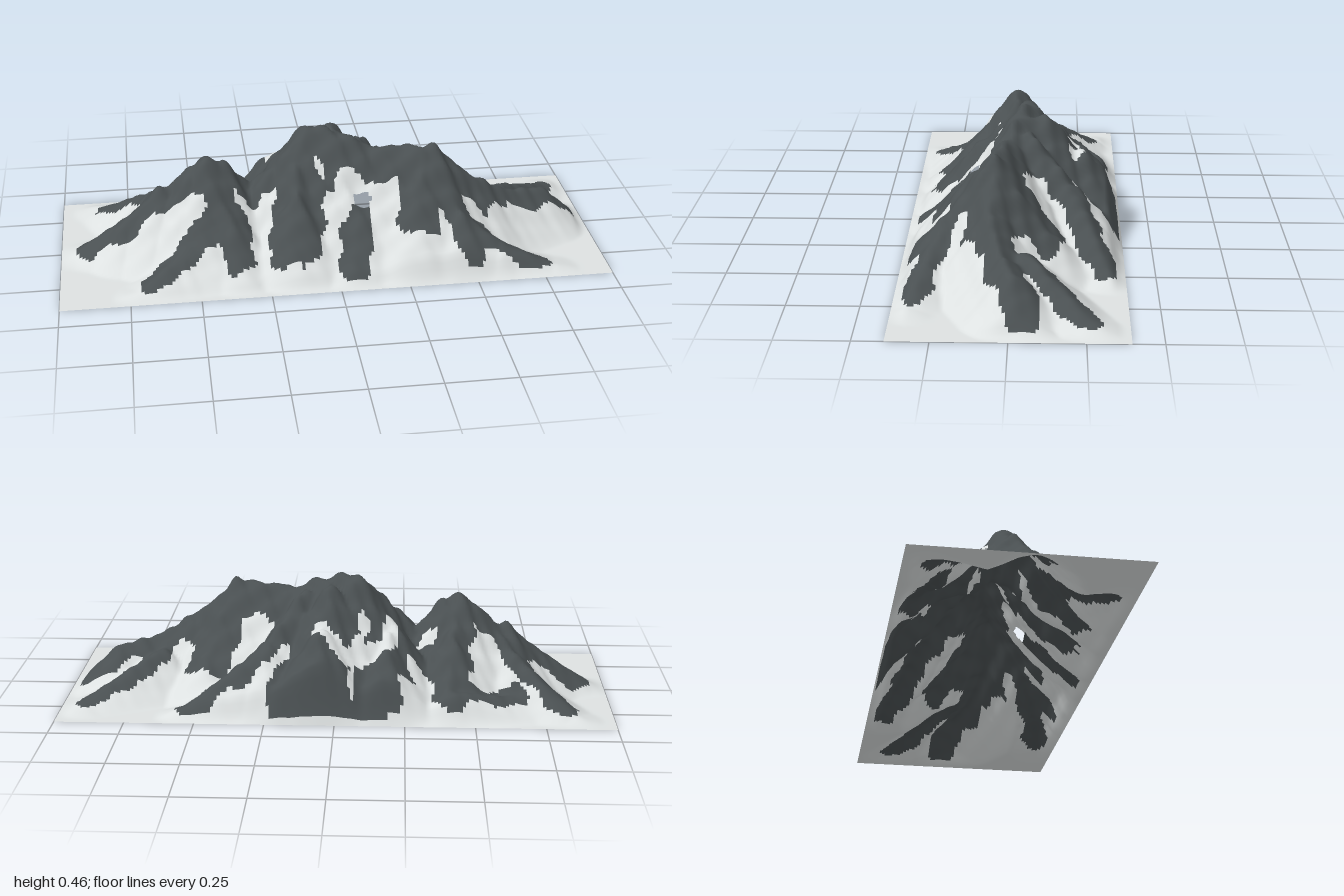
import * as THREE from 'three';

const NX = 180, NZ = 72, HALF_X = 1, HALF_Z = 0.395;

// Each crest: width of bare rock along it, then [x, z, height] points
const mainRidges = [
  { rock: 0.075, line: [[-0.95, 0.02, 0.02], [-0.75, 0.02, 0.15], [-0.62, 0, 0.26], [-0.56, 0, 0.26], [-0.5, 0, 0.34],
    [-0.45, 0, 0.375], [-0.4, 0, 0.355], [-0.28, -0.02, 0.235]] },
  { rock: 0.085, line: [[-0.28, -0.02, 0.235], [-0.21, 0, 0.32], [-0.17, 0, 0.32], [-0.13, -0.02, 0.4], [-0.07, -0.05, 0.46],
    [0.05, -0.01, 0.435], [0.16, 0.02, 0.385], [0.38, 0.065, 0.4], [0.54, 0.07, 0.26]] },
  { rock: 0.062, line: [[0.54, 0.07, 0.26], [0.68, 0.04, 0.18], [0.82, -0.01, 0.155], [0.92, -0.05, 0.05]] },
];
const frontSpurs = [
  { rock: 0.05, line: [[-0.43, 0.04, 0.33], [-0.37, 0.15, 0.2], [-0.55, 0.22, 0.11], [-0.71, 0.34, 0.02]] },
  { rock: 0.06, line: [[-0.37, 0.15, 0.2], [-0.35, 0.25, 0.08]] },
  { rock: 0.09, line: [[-0.12, 0.02, 0.38], [-0.13, 0.14, 0.26], [-0.15, 0.23, 0.13]] },
  { rock: 0, line: [[0.06, 0.03, 0.38], [0.08, 0.09, 0.26], [0.1, 0.16, 0.215]] },
  { rock: 0, line: [[0.02, 0.12, 0.24], [0.12, 0.15, 0.215], [0.22, 0.12, 0.25]] },
  { rock: 0.065, line: [[0.075, 0.23, 0.145], [0.06, 0.31, 0.06]] },
  { rock: 0.07, line: [[0.35, 0.08, 0.38], [0.32, 0.15, 0.3], [0.31, 0.22, 0.16]] },
  { rock: 0.05, line: [[0.38, 0.07, 0.38], [0.46, 0.23, 0.2], [0.6, 0.29, 0.1], [0.79, 0.34, 0.02]] },
  { rock: 0.05, line: [[0.46, 0.23, 0.2], [0.48, 0.31, 0.08]] },
];
const backSpurs = [
  { rock: 0.055, line: [[0.12, -0.05, 0.4], [0.24, -0.2, 0.25], [0.53, -0.33, 0.04]] },
  { rock: 0.05, line: [[0.66, -0.05, 0.16], [0.91, -0.27, 0.03]] },
  { rock: 0.08, line: [[0.4, 0.05, 0.37], [0.47, -0.11, 0.17]] },
  { rock: 0.12, line: [[0.03, -0.03, 0.42], [0.02, -0.11, 0.43], [0.05, -0.2, 0.305], [0.05, -0.24, 0.31], [0.05, -0.34, 0.18]] },
  { rock: 0.08, line: [[0.05, -0.25, 0.28], [0.17, -0.33, 0.15]] },
  { rock: 0.09, line: [[-0.12, -0.06, 0.38], [-0.2, -0.14, 0.3], [-0.18, -0.25, 0.23], [-0.14, -0.33, 0.13]] },
  { rock: 0.05, line: [[-0.2, -0.14, 0.28], [-0.33, -0.17, 0.13]] },
  { rock: 0.065, line: [[-0.45, 0, 0.35], [-0.42, -0.14, 0.25], [-0.41, -0.29, 0.11]] },
  { rock: 0.04, line: [[-0.44, -0.31, 0.1], [-0.66, -0.25, 0.06]] },
  { rock: 0.045, line: [[-0.58, -0.02, 0.25], [-0.65, -0.12, 0.18], [-0.86, -0.32, 0.02]] },
];
const crests = [...mainRidges, ...frontSpurs, ...backSpurs];

// Curved snow bowl cut into the rock of the back face
const snowBowl = [[-0.2, -0.13, 0], [-0.19, -0.21, 0], [-0.03, -0.28, 0], [0.06, -0.22, 0]];

// Distance to a line, and the slope height it gives: rounded crest, steep side, easing out below
function measure(line, x, z) {
  let distance = Infinity, slope = 0;
  for (let i = 0; i < line.length - 1; i++) {
    const [ax, az, ah] = line[i], [bx, bz, bh] = line[i + 1];
    const dx = bx - ax, dz = bz - az;
    const t = THREE.MathUtils.clamp(((x - ax) * dx + (z - az) * dz) / (dx * dx + dz * dz), 0, 1);
    const d = Math.hypot(x - ax - dx * t, z - az - dz * t);
    const h = ah + (bh - ah) * t;
    const rounded = Math.hypot(d, 0.02) - 0.02;
    distance = Math.min(distance, d);
    slope = Math.max(slope, h * Math.pow(Math.max(0, 1 - rounded / (0.07 + 0.66 * h)), 1.2));
  }
  return { distance, slope };
}

function smoothMax(a, b, k) {
  const h = Math.max(k - Math.abs(a - b), 0) / k;
  return Math.max(a, b) + h * h * k * 0.25;
}

function height(x, z) {
  let y = 0;
  for (const { line } of crests) {
    const { slope } = measure(line, x, z);
    if (slope > 0) y = smoothMax(y, slope, Math.min(0.02, slope));
  }
  // Small crags, then a fade to the flat rim
  const crag = Math.sin(x * 47 + z * 31) * Math.sin(z * 59 - x * 21) + 0.5 * Math.sin(x * 97 - z * 71);
  y += crag * 0.009 * Math.min(1, y / 0.25);
  const rim = Math.min(HALF_X - Math.abs(x), HALF_Z - Math.abs(z));
  return Math.max(0, y) * Math.min(1, rim / 0.05);
}

// Rock follows the crests with a ragged edge; hollows and low ground stay snowy
function isRock(x, z) {
  if (height(x, z) < 0.022 || measure(snowBowl, x, z).distance < 0.026) return false;
  const ragged = 1 + 0.15 * Math.sin(x * 41 + z * 17) + 0.12 * Math.sin(z * 67 - x * 29);
  return crests.some(({ rock, line }) => measure(line, x, z).distance < rock * ragged);
}

export function createModel() {
  const group = new THREE.Group();
  group.name = 'mountainRange';

  // Height grid
  const positions = [];
  for (let j = 0; j <= NZ; j++) {
    for (let i = 0; i <= NX; i++) {
      const x = HALF_X * ((2 * i) / NX - 1), z = HALF_Z * ((2 * j) / NZ - 1);
      positions.push(x, height(x, z), z);
    }
  }

  // Sort cells into rock and snow, leaving a small cave opening
  const rock = [], snow = [];
  for (let j = 0; j < NZ; j++) {
    for (let i = 0; i < NX; i++) {
      const x = HALF_X * ((2 * i + 1) / NX - 1), z = HALF_Z * ((2 * j + 1) / NZ - 1);
      if (Math.hypot((x - 0.11) / 0.034, (z - 0.148) / 0.018) < 1) continue;
      const a = j * (NX + 1) + i, b = a + NX + 1;
      (isRock(x, z) ? rock : snow).push(a, b, a + 1, b, b + 1, a + 1);
    }
  }

  // Smooth normals shared across both surfaces
  const terrain = new THREE.BufferGeometry();
  terrain.setAttribute('position', new THREE.Float32BufferAttribute(positions, 3));
  terrain.setIndex([...rock, ...snow]);
  terrain.computeVertexNormals();

  function addSurface(name, index, materialName, color) {
    const geometry = terrain.clone();
    geometry.setIndex(index);
    const material = new THREE.MeshStandardMaterial({ color, side: THREE.DoubleSide });
    material.name = materialName;
    const mesh = new THREE.Mesh(geometry, material);
    mesh.name = name;
    group.add(mesh);
  }
  addSurface('rockRidges', rock, 'darkRock', 0x4a5052);
  addSurface('snowSlopes', snow, 'paleSnow', 0xdde1e1);
  return group;
}
